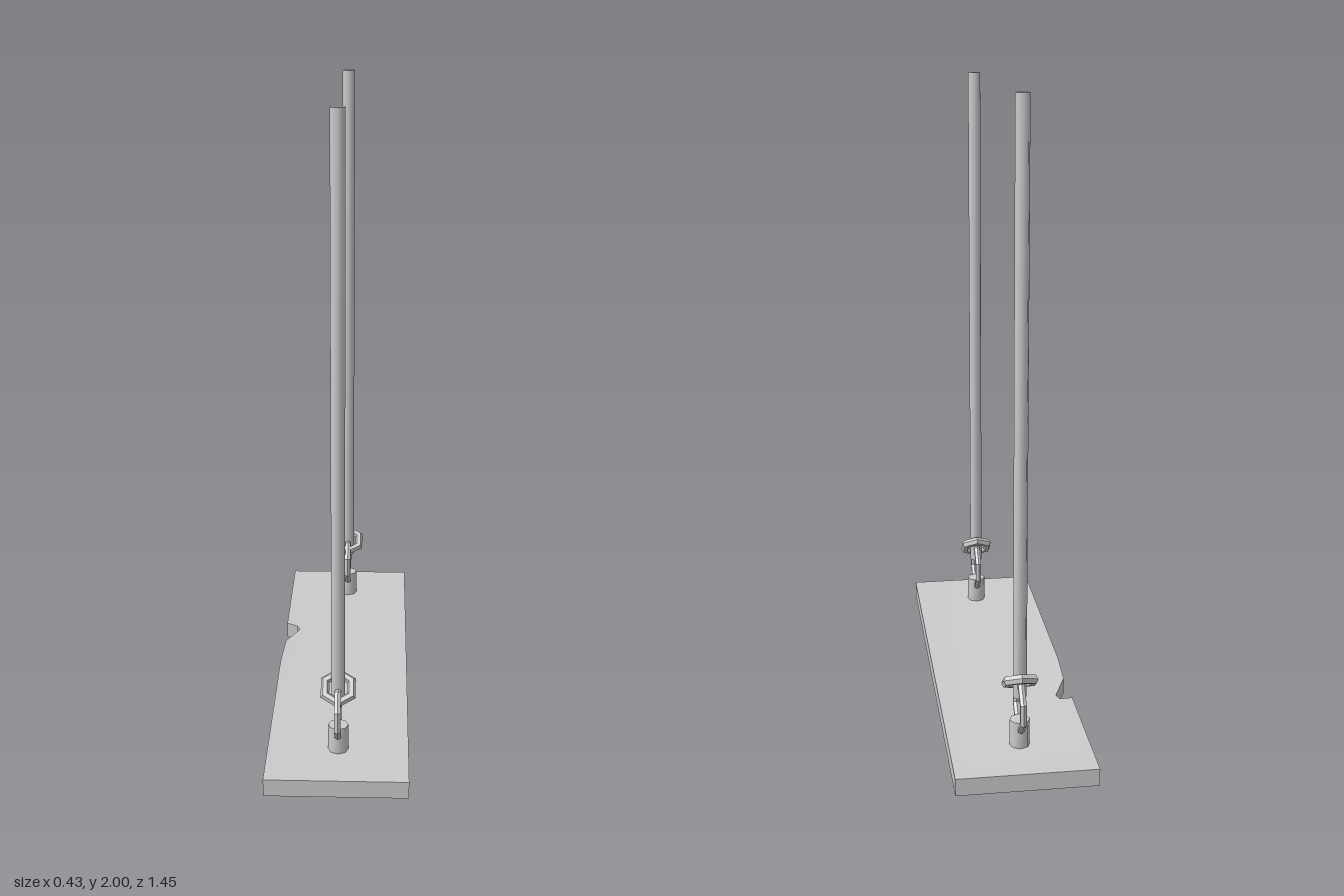
import * as THREE from 'three';
import { toCreasedNormals } from 'three/addons/utils/BufferGeometryUtils.js';

const grey = new THREE.MeshStandardMaterial({ color: 0xcccccc });
grey.name = 'plain grey';

function part(name, geometry, crease = 0.9) {
  const mesh = new THREE.Mesh(toCreasedNormals(geometry, crease), grey);
  mesh.name = name;
  return mesh;
}

// Plank with a chipped notch in its right edge; outline is [x, z]
function makeSeat() {
  const outline = [
    [-0.218, 0.727], [0.216, 0.727], [0.216, -0.727], [-0.214, -0.727],
    [-0.214, -0.28], [-0.176, -0.27], [-0.166, -0.245], [-0.21, -0.145], [-0.218, 0],
  ];
  const shape = new THREE.Shape(outline.map(([x, z]) => new THREE.Vector2(x, -z)));
  const geometry = new THREE.ExtrudeGeometry(shape, { depth: 0.055, bevelEnabled: false });
  geometry.rotateX(-Math.PI / 2);
  // The worn top sinks slightly at the notch
  const p = geometry.attributes.position;
  for (let i = 0; i < p.count; i++) {
    const x = p.getX(i), z = p.getZ(i);
    if (p.getY(i) > 0.03 && x < -0.1 && x > -0.2 && z < 0) p.setY(i, 0.048);
  }
  return part('seat', geometry);
}

// Bolt, chain ring, tilted knot and rope for one end
function makeHanger(name, z, tilt) {
  const group = new THREE.Group();
  group.name = name;

  const bolt = part('bolt', new THREE.CylinderGeometry(0.031, 0.031, 0.09, 8));
  bolt.position.y = 0.095;

  const ringGeometry = new THREE.TorusGeometry(0.079, 0.011, 6, 8);
  ringGeometry.rotateZ(Math.PI / 8).rotateY(Math.PI / 2);
  const ring = part('ring', ringGeometry, 0.5);
  ring.position.y = 0.19;

  const knotGeometry = new THREE.TorusGeometry(0.046, 0.015, 6, 6);
  knotGeometry.rotateZ(Math.PI / 6).rotateX(Math.PI / 2);
  const knot = part('knot', knotGeometry, 0.5);
  knot.rotation.x = tilt;
  knot.position.y = 0.265;

  const rope = part('rope', new THREE.CylinderGeometry(0.021, 0.021, 1.785, 8));
  rope.position.y = 0.215 + 1.785 / 2;

  group.add(bolt, ring, knot, rope);
  group.position.z = z;
  return group;
}

export function createModel() {
  const model = new THREE.Group();
  model.name = 'swing';
  model.add(makeSeat(), makeHanger('frontHanger', 0.55, 0.78), makeHanger('backHanger', -0.55, 0.6));
  return model;
}
